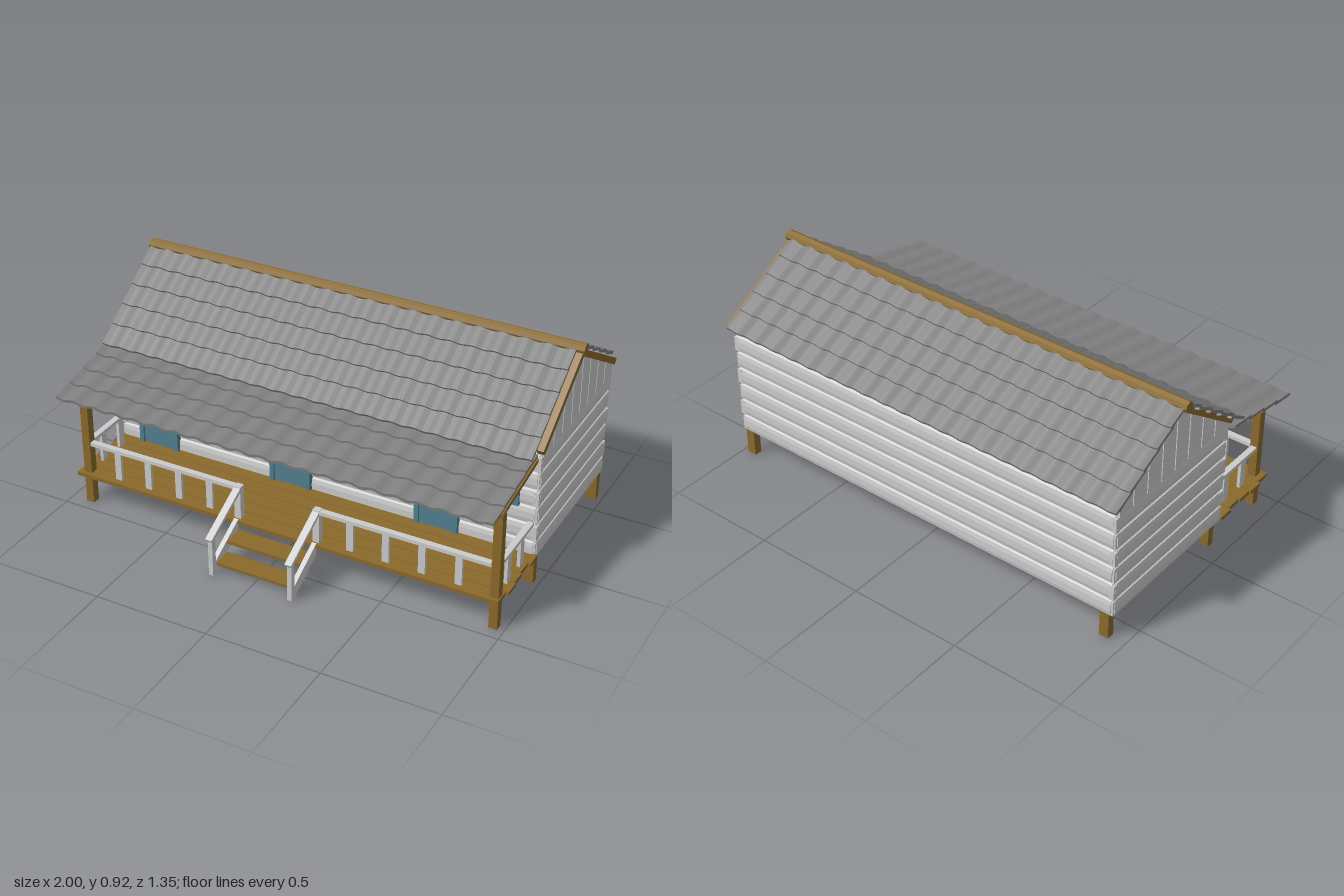
import * as THREE from 'three';

const mat = (color) => new THREE.MeshStandardMaterial({ color, flatShading: true });
const WALL = mat(0xcccccc), ROOF = mat(0x808080), WOOD = mat(0x8a6a2c), BLUE = mat(0x52808f), GLASS = mat(0xbfdad4);

const X0 = -0.945, X1 = 0.97;      // side wall planes
const Z0 = -0.61, Z1 = 0.105;      // back and front wall planes
const RIDGE_Z = -0.245;

// Underside height of the main roof at depth z
const roofY = (z) => z > RIDGE_Z
  ? 0.872 - (z - RIDGE_Z) * 0.715
  : 0.872 - (RIDGE_Z - z) * 0.59;

export function createModel() {
  const model = new THREE.Group();

  const add = (name, geometry, material, x = 0, y = 0, z = 0) => {
    const mesh = new THREE.Mesh(geometry, material);
    mesh.name = name;
    mesh.position.set(x, y, z);
    model.add(mesh);
    return mesh;
  };
  // Box given by its limits
  const block = (name, material, x0, x1, y0, y1, z0, z1) =>
    add(name, new THREE.BoxGeometry(x1 - x0, y1 - y0, z1 - z0), material,
      (x0 + x1) / 2, (y0 + y1) / 2, (z0 + z1) / 2);
  // Sloping bar in the y-z plane between two [z, y] points
  const bar = (name, material, x, a, b, w, h) => {
    const len = Math.hypot(b[0] - a[0], b[1] - a[1]);
    const mesh = add(name, new THREE.BoxGeometry(w, h, len), material, x, (a[1] + b[1]) / 2, (a[0] + b[0]) / 2);
    mesh.rotation.x = Math.atan(-(b[1] - a[1]) / (b[0] - a[0]));
    return mesh;
  };

  // Horizontal log siding: one bulging profile for all boards
  const profile = new THREE.Shape();
  profile.moveTo(-0.02, 0.122);
  const boards = 6, bh = 0.08;
  for (let i = 0; i < boards; i++) {
    const y = 0.122 + i * bh;
    [[0, 0], [0.009, 0.006], [0.013, 0.025], [0.013, 0.055], [0.009, 0.074], [0, bh - 0.001]]
      .forEach(([u, v]) => profile.lineTo(u, y + v));
  }
  profile.lineTo(-0.02, 0.602);
  const siding = (name, x, z, turn, length) => {
    const geo = new THREE.ExtrudeGeometry(profile, { depth: length, bevelEnabled: false });
    add(name, geo, WALL, x, 0, z).rotation.y = turn;
  };
  siding('rightEndSiding', X1, Z0, 0, Z1 - Z0);
  siding('leftEndSiding', X0, Z1, Math.PI, Z1 - Z0);
  siding('frontSiding', X1, Z1, -Math.PI / 2, X1 - X0);
  siding('backSiding', X0, Z0, Math.PI / 2, X1 - X0);

  // Notched log ends at the four corners
  for (const x of [X0, X1]) for (const z of [Z0, Z1]) for (let i = 0; i < boards; i++) {
    const s = 0.009 + 0.003 * (i % 2), y = 0.128 + i * bh;
    block('cornerLogEnd', WALL, x - s, x + s, y, y + 0.066, z - s, z + s);
  }

  // Floor planks under the house
  for (let i = 0; i < 7; i++) {
    const w = (Z1 - Z0) / 7, z = Z0 + i * w;
    block('floorPlank', ROOF, X0, X1, 0.118, 0.13, z, z + w - 0.004);
  }

  // Gables: recessed panel with vertical boards in front
  const gablePiece = (za, zb) => {
    const s = new THREE.Shape();
    s.moveTo(-za, 0.6);
    s.lineTo(-za, roofY(za));
    if (za > RIDGE_Z && zb < RIDGE_Z) s.lineTo(-RIDGE_Z, roofY(RIDGE_Z));
    s.lineTo(-zb, roofY(zb));
    s.lineTo(-zb, 0.6);
    return s;
  };
  const gableBoard = (name, za, zb, xa, xb) => {
    const geo = new THREE.ExtrudeGeometry(gablePiece(za, zb), { depth: xb - xa, bevelEnabled: false });
    add(name, geo, WALL, xa).rotation.y = Math.PI / 2;
  };
  const seams = [0.105, 0.01, -0.08, -0.17, -0.257, -0.345, -0.435, -0.525, -0.612];
  for (const [x, out] of [[X1, 1], [X0, -1]]) {
    gableBoard('gablePanel', Z1, Z0, x - 0.01, x + 0.01);
    const xb = x + out * 0.007;
    for (let i = 0; i < seams.length - 1; i++)
      gableBoard('gableBoard', seams[i] - 0.003, seams[i + 1] + 0.003, xb - 0.009, xb + 0.009);
  }

  // Gable rafters and ridge beam
  for (const x of [X1 + 0.007, X0 - 0.012]) {
    bar('gableRafter', WOOD, x, [0.12, 0.622], [RIDGE_Z, 0.884], 0.03, 0.028);
    bar('gableRafter', WOOD, x, [-0.635, 0.652], [RIDGE_Z, 0.882], 0.03, 0.028);
  }
  add('ridgeBeam', new THREE.CylinderGeometry(0.024, 0.024, 2, 8), WOOD, 0, 0.9, RIDGE_Z).rotation.z = Math.PI / 2;

  // Roofing: overlapping rows of corrugated sheet, top to bottom
  const RX0 = -0.99, RX1 = 0.965, WAVES = 20;
  const roofing = (name, top, bottom, rows) => {
    const dz = (bottom[0] - top[0]) / rows, dy = (bottom[1] - top[1]) / rows;
    const length = Math.hypot(dz, dy) * 1.12;
    const geo = new THREE.BoxGeometry(RX1 - RX0, 0.013, length, WAVES * 8, 1, 1);
    const p = geo.attributes.position;
    for (let i = 0; i < p.count; i++) {
      const t = (p.getX(i) - RX0) / (RX1 - RX0) * WAVES * Math.PI * 2;
      p.setY(i, p.getY(i) + 0.005 * Math.cos(t));
    }
    geo.computeVertexNormals();
    for (let r = 0; r < rows; r++) {
      const mesh = add(name, geo, ROOF, (RX0 + RX1) / 2, top[1] + dy * (r + 0.5), top[0] + dz * (r + 0.5));
      mesh.rotation.x = Math.atan(-dy / dz) - Math.sign(dz) * 0.09;
    }
  };
  roofing('frontRoofRow', [RIDGE_Z + 0.01, 0.9], [0.165, 0.608], 5);
  roofing('backRoofRow', [RIDGE_Z - 0.01, 0.902], [-0.665, 0.664], 5);
  roofing('porchRoofRow', [0.12, 0.602], [0.518, 0.522], 4);

  // Stilts, porch posts and porch roof frame
  for (const x of [-0.91, 0.955]) {
    for (const z of [0.09, -0.594])
      block('stilt', WOOD, x - 0.021, x + 0.021, 0, 0.122, z - 0.017, z + 0.017);
    block('porchPost', WOOD, x - 0.018, x + 0.018, 0, 0.53, 0.415, 0.451);
    bar('porchRafter', WOOD, x, [0.455, 0.523], [0.11, 0.585], 0.03, 0.018);
  }
  block('porchBeam', WOOD, -0.91, 0.955, 0.507, 0.525, 0.422, 0.444);

  // Porch deck planks with uneven ends
  for (let i = 0; i < 5; i++) {
    const z = 0.108 + i * 0.0725, e = 0.006 * ((i * 2) % 3);
    block('deckPlank', WOOD, -0.965 + e, 0.99 - e, 0.13, 0.147, z, z + 0.069);
  }

  // Doors: frame, leaf and inset panel edge
  const D = Z1 + 0.013;
  for (const x of [-0.76, -0.115, 0.555]) {
    for (const s of [-1, 1])
      block('doorJamb', BLUE, x + s * 0.086 - 0.01, x + s * 0.086 + 0.01, 0.147, 0.43, D - 0.01, D + 0.018);
    block('doorHead', BLUE, x - 0.098, x + 0.098, 0.412, 0.434, D - 0.01, D + 0.02);
    block('doorLeaf', BLUE, x - 0.08, x + 0.08, 0.147, 0.414, D - 0.01, D + 0.008);
  }

  // Windows: pane, frame and glazing bars
  const framedWindow = (xa, xb, ya, yb, uprights, cross) => {
    const f = 0.018, z0 = D - 0.01, z1 = D + 0.012;
    block('windowPane', GLASS, xa + 0.01, xb - 0.01, ya + 0.01, yb - 0.01, z0, D + 0.003);
    block('windowSill', BLUE, xa, xb, ya, ya + f, z0, z1);
    block('windowHead', BLUE, xa, xb, yb - f, yb, z0, z1);
    block('windowSide', BLUE, xa, xa + f, ya, yb, z0, z1);
    block('windowSide', BLUE, xb - f, xb, ya, yb, z0, z1);
    for (const u of uprights) block('glazingBar', BLUE, u - 0.006, u + 0.006, ya, yb, z0, z1 - 0.004);
    if (cross) block('glazingBar', BLUE, xa, xb, cross - 0.006, cross + 0.006, z0, z1 - 0.004);
  };
  framedWindow(-0.52, -0.35, 0.32, 0.525, [-0.435], 0.425);
  framedWindow(0.055, 0.378, 0.36, 0.525, [0.142, 0.292], 0);
  framedWindow(0.73, 0.903, 0.36, 0.525, [0.817], 0.445);

  // Porch railing: front runs either side of the steps, and both ends
  for (const [xa, xb] of [[-0.91, -0.17], [0.17, 0.955]]) {
    block('frontRail', WALL, xa, xb, 0.279, 0.295, 0.42, 0.446);
    for (let i = 1; i < 5; i++) {
      const x = xa + (xb - xa) * i / 5;
      block('baluster', WALL, x - 0.015, x + 0.015, 0.147, 0.28, 0.426, 0.44);
    }
  }
  for (const x of [-0.91, 0.955]) {
    block('endRail', WALL, x - 0.013, x + 0.013, 0.279, 0.295, 0.112, 0.43);
    for (const z of [0.33, 0.205])
      block('baluster', WALL, x - 0.007, x + 0.007, 0.147, 0.28, z - 0.017, z + 0.017);
  }

  // Steps with stringers, newels and sloping handrails
  for (const x of [-0.18, 0.18]) {
    block('upperNewel', WALL, x - 0.015, x + 0.015, 0.147, 0.297, 0.418, 0.448);
    block('lowerNewel', WALL, x - 0.01, x + 0.01, 0.005, 0.17, 0.64, 0.664);
    bar('handrail', WALL, x, [0.44, 0.288], [0.672, 0.17], 0.03, 0.015);
    const s = new THREE.Shape();
    [[0.46, 0.1], [0.46, 0.152], [0.64, 0.058], [0.664, 0.045], [0.664, 0], [0.64, 0.004]]
      .forEach(([z, y], i) => (i ? s.lineTo(-z, y) : s.moveTo(-z, y)));
    add('stringer', new THREE.ExtrudeGeometry(s, { depth: 0.02, bevelEnabled: false }), WALL, x - 0.01)
      .rotation.y = Math.PI / 2;
  }
  block('lowerTread', WOOD, -0.172, 0.172, 0.033, 0.046, 0.55, 0.635);
  block('upperTread', WOOD, -0.172, 0.172, 0.088, 0.101, 0.46, 0.552);

  return model;
}
